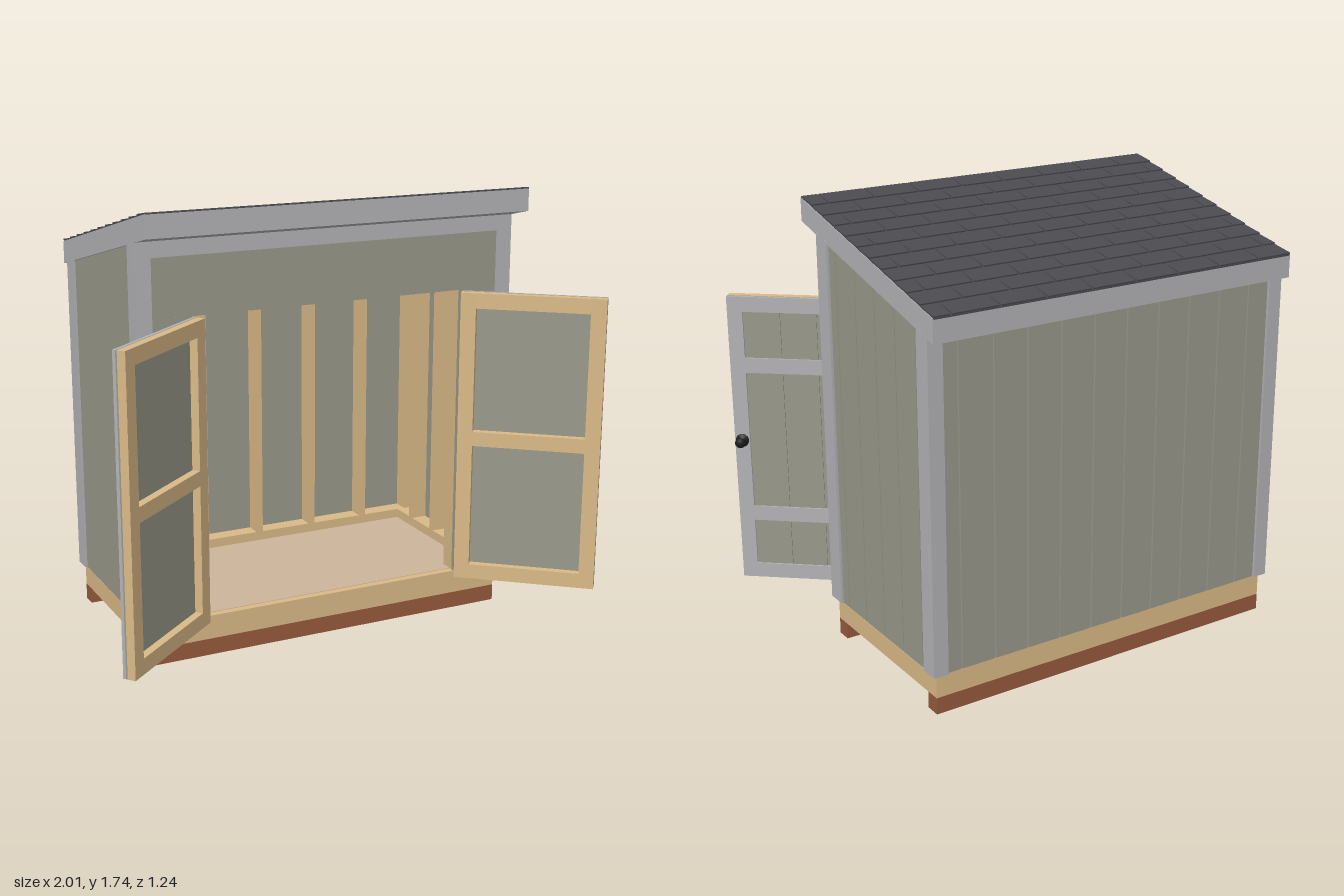
import * as THREE from 'three';

const mat = (color) => new THREE.MeshStandardMaterial({ color });
const TRIM = mat(0xb2b2b5), SIDING = mat(0x98988a), WOOD = mat(0xdab987), SKID = mat(0x965a3d);
const FLOOR = mat(0xccb59a), SHINGLE = mat(0x4b4a50), IRON = mat(0x1c1c1e);

const SLOPE = 0.246, PITCH = Math.atan(SLOPE), BASE = 0.16, STEP = 0.1425, GAP = 0.006;
const roofY = (z) => 1.735 + SLOPE * (z - 0.33);

function add(parent, name, geometry, material) {
  const mesh = new THREE.Mesh(geometry, material);
  mesh.name = name;
  parent.add(mesh);
  return mesh;
}

// Box given by its extents; x limits may come in either order
function box(parent, name, material, xa, xb, y0, y1, z0, z1) {
  const g = new THREE.BoxGeometry(Math.abs(xb - xa), y1 - y0, z1 - z0);
  g.translate((xa + xb) / 2, (y0 + y1) / 2, (z0 + z1) / 2);
  return add(parent, name, g, material);
}

// Side profile of [z, y] points, extruded between two x positions
function prism(parent, name, material, points, xa, xb) {
  const shape = new THREE.Shape(points.map(([z, y]) => new THREE.Vector2(z, y)));
  const g = new THREE.ExtrudeGeometry(shape, { depth: Math.abs(xb - xa), bevelEnabled: false });
  g.rotateY(-Math.PI / 2);
  g.translate(Math.max(xa, xb), 0, 0);
  return add(parent, name, g, material);
}

// Piece following the roof pitch, from 'low' to 'high' below the roof line
function sloped(parent, name, material, xa, xb, z0, z1, low, high) {
  return prism(parent, name, material,
    [[z0, roofY(z0) - low], [z1, roofY(z1) - low], [z1, roofY(z1) - high], [z0, roofY(z0) - high]], xa, xb);
}

// Upright piece from y0 up to a pitched top
function upright(parent, name, material, xa, xb, z0, z1, y0, drop) {
  return prism(parent, name, material,
    [[z0, y0], [z1, y0], [z1, roofY(z1) - drop], [z0, roofY(z0) - drop]], xa, xb);
}

// Splits a span into grooved siding boards
function boards(a, b, offset, place) {
  const cuts = [a];
  for (let k = -8; k <= 8; k++) {
    const c = offset + k * STEP;
    if (c > a + 0.01 && c < b - 0.01) cuts.push(c);
  }
  cuts.push(b);
  for (let i = 0; i + 1 < cuts.length; i++) {
    place(cuts[i] + (i ? GAP / 2 : 0), cuts[i + 1] - (i + 2 < cuts.length ? GAP / 2 : 0));
  }
}

function buildBase(root) {
  const g = new THREE.Group();
  g.name = 'base';
  root.add(g);
  for (const z of [0.135, -0.56]) box(g, 'skid', SKID, -0.76, 0.76, 0, 0.066, z, z + 0.06);
  for (const z of [0.165, -0.56]) box(g, 'rimJoist', WOOD, -0.76, 0.76, 0.066, BASE, z, z + 0.03);
  for (let i = -3; i <= 3; i++) {
    const x = Math.abs(i) === 3 ? Math.sign(i) * 0.745 : i * 0.25;
    box(g, 'floorJoist', WOOD, x - 0.015, x + 0.015, 0.066, BASE - 0.015, -0.53, 0.165);
  }
  box(g, 'floor', FLOOR, -0.759, 0.759, BASE - 0.015, BASE + 0.002, -0.53, 0.165);
}

function buildWalls(root) {
  const g = new THREE.Group();
  g.name = 'walls';
  root.add(g);

  // Back wall siding and framing
  upright(g, 'backSheathing', SIDING, -0.75, 0.75, -0.562, -0.548, BASE, 0.06);
  boards(-0.76, 0.76, 0.0875, (a, b) => upright(g, 'backBoard', SIDING, a, b, -0.57, -0.56, BASE, 0.06));
  box(g, 'backBottomPlate', WOOD, -0.745, 0.745, BASE, 0.2, -0.548, -0.48);
  box(g, 'backTopPlate', WOOD, -0.745, 0.745, 1.375, 1.415, -0.548, -0.48);
  for (let i = -3; i <= 3; i++) {
    const x = Math.abs(i) === 3 ? Math.sign(i) * 0.73 : i * 0.25;
    box(g, 'backStud', WOOD, x - 0.015, x + 0.015, 0.2, 1.375, -0.548, -0.48);
  }

  // Front wall above the doors
  box(g, 'headerSheathing', SIDING, -0.75, 0.75, 1.335, 1.62, 0.18, 0.193);
  boards(-0.74, 0.74, 0.0875, (a, b) => box(g, 'headerBoard', SIDING, a, b, 1.335, 1.62, 0.192, 0.203));
  box(g, 'header', WOOD, -0.745, 0.745, 1.335, 1.43, 0.115, 0.18);
  box(g, 'frontTopPlate', WOOD, -0.745, 0.745, 1.56, 1.6, 0.115, 0.18);
  box(g, 'frieze', TRIM, -0.72, 0.72, 1.56, 1.625, 0.19, 0.215);

  for (const s of [-1, 1]) {
    // Side wall siding and framing
    upright(g, 'sideSheathing', SIDING, s * 0.747, s * 0.76, -0.555, 0.195, BASE, 0.05);
    boards(-0.56, 0.2, 0.085, (a, b) => upright(g, 'sideBoard', SIDING, s * 0.759, s * 0.77, a, b, BASE, 0.05));
    box(g, 'sideBottomPlate', WOOD, s * 0.68, s * 0.747, BASE, 0.2, -0.48, 0.115);
    sloped(g, 'sideTopPlate', WOOD, s * 0.68, s * 0.747, -0.48, 0.115, 0.13, 0.09);
    for (const z of [-0.36, -0.18, 0, 0.1]) {
      upright(g, 'sideStud', WOOD, s * 0.68, s * 0.747, z - 0.015, z + 0.015, 0.2, 0.13);
    }

    // Front wall beside the doors
    box(g, 'frontSheathing', SIDING, s * 0.568, s * 0.75, BASE, 1.335, 0.18, 0.193);
    boards(0.568, 0.74, 0.0875, (a, b) => box(g, 'frontBoard', SIDING, s * a, s * b, BASE, 1.335, 0.192, 0.203));
    box(g, 'frontBottomPlate', WOOD, s * 0.568, s * 0.745, BASE, 0.2, 0.115, 0.18);
    for (const x of [0.568, 0.715]) box(g, 'doorStud', WOOD, s * x, s * (x + 0.03), 0.2, 1.335, 0.115, 0.18);

    // Corner trim, two boards to a corner
    upright(g, 'cornerTrim', TRIM, s * 0.765, s * 0.78, 0.135, 0.215, BASE, 0.08);
    upright(g, 'cornerTrim', TRIM, s * 0.72, s * 0.765, 0.195, 0.215, BASE, 0.08);
    upright(g, 'cornerTrim', TRIM, s * 0.765, s * 0.78, -0.58, -0.505, BASE, 0.08);
    upright(g, 'cornerTrim', TRIM, s * 0.72, s * 0.765, -0.58, -0.565, BASE, 0.08);
  }
}

function buildRoof(root) {
  const g = new THREE.Group();
  g.name = 'roof';
  root.add(g);
  sloped(g, 'roofDeck', WOOD, -0.765, 0.765, -0.605, 0.315, 0.024, 0.004);
  sloped(g, 'frontFascia', TRIM, -0.777, 0.777, 0.31, 0.33, 0.088, 0);
  sloped(g, 'backFascia', TRIM, -0.777, 0.777, -0.62, -0.6, 0.088, 0);
  sloped(g, 'frontSoffit', TRIM, -0.765, 0.765, 0.2, 0.31, 0.087, 0.072);
  sloped(g, 'backSoffit', TRIM, -0.765, 0.765, -0.6, -0.565, 0.087, 0.072);
  for (const s of [-1, 1]) sloped(g, 'rakeFascia', TRIM, s * 0.763, s * 0.7795, -0.62, 0.33, 0.088, 0);
  for (let i = -2; i <= 2; i++) {
    sloped(g, 'rafter', WOOD, i * 0.25 - 0.015, i * 0.25 + 0.015, -0.55, 0.18, 0.085, 0.024);
  }

  // Shingles in staggered courses, each tab lifted at its lower edge
  sloped(g, 'underlay', SHINGLE, -0.776, 0.776, -0.622, 0.331, 0.002, -0.003);
  const courses = 11, tab = 0.19, pitchLength = 0.953 / 11;
  for (let r = 0; r < courses; r++) {
    const zc = -0.622 + (r + 0.5) * pitchLength;
    const start = -0.776 - (r % 2 ? 0.13 : 0.035);
    for (let k = 0; k < 10; k++) {
      const a = Math.max(-0.777, start + k * tab + 0.004);
      const b = Math.min(0.777, start + (k + 1) * tab - 0.004);
      if (b - a < 0.01) continue;
      const geo = new THREE.BoxGeometry(b - a, 0.006, pitchLength / Math.cos(PITCH));
      const m = add(g, 'shingle', geo, SHINGLE);
      m.position.set((a + b) / 2, roofY(zc) + 0.004, zc);
      m.rotation.x = -PITCH + 0.06;
    }
  }
}

function buildDoor(root, s) {
  const g = new THREE.Group();
  g.name = s > 0 ? 'leftDoor' : 'rightDoor';
  g.position.set(s * 0.566, 0, 0.216);
  g.rotation.y = -s * THREE.MathUtils.degToRad(40);
  root.add(g);
  const W = 0.56, Y0 = BASE, Y1 = 1.335, ST = 0.06;

  // Frame of two stiles with rails between them
  const frame = (name, material, rails, z0, z1) => {
    for (const x of [0, W - ST]) box(g, name + 'Stile', material, s * x, s * (x + ST), Y0, Y1, z0, z1);
    for (const [a, b] of rails) box(g, name + 'Rail', material, s * ST, s * (W - ST), a, b, z0, z1);
  };
  frame('outer', TRIM, [[Y0, 0.22], [0.41, 0.47], [1.03, 1.09], [1.275, Y1]], 0, 0.012);
  frame('inner', WOOD, [[Y0, 0.22], [0.72, 0.778], [1.275, Y1]], 0.018, 0.05);
  box(g, 'doorPanel', SIDING, 0, s * W, Y0, Y1, 0.0119, 0.0181);
  boards(ST, W - ST, 0.21, (a, b) => box(g, 'doorBoard', SIDING, s * a, s * b, Y0 + 0.05, Y1 - 0.05, 0.007, 0.013));

  // Tapered strap hinges with a barrel
  for (const y of [0.19, 0.75, 1.305]) {
    const strap = new THREE.Shape([[0, -0.02], [0.015, -0.02], [0.06, -0.007], [0.06, 0.007], [0.015, 0.02], [0, 0.02]]
      .map(([x, v]) => new THREE.Vector2(s * x, v)));
    add(g, 'hingeStrap', new THREE.ExtrudeGeometry(strap, { depth: 0.006, bevelEnabled: false }), IRON)
      .position.set(0, y, -0.005);
    add(g, 'hingeBarrel', new THREE.CylinderGeometry(0.006, 0.006, 0.045, 12), IRON).position.set(0, y, -0.003);
  }

  // Turned knob on one door only
  if (s > 0) {
    const profile = [[0, 0], [0.026, 0], [0.026, 0.006], [0.009, 0.009], [0.009, 0.022], [0.02, 0.03], [0.02, 0.038], [0.011, 0.045], [0, 0.046]];
    const knob = add(g, 'knob', new THREE.LatheGeometry(profile.map(([x, y]) => new THREE.Vector2(x, y)), 20), IRON);
    knob.rotation.x = -Math.PI / 2;
    knob.position.set(0.53, 0.75, 0);
  }
}

export function createModel() {
  const root = new THREE.Group();
  root.name = 'gardenShed';
  buildBase(root);
  buildWalls(root);
  buildRoof(root);
  for (const s of [-1, 1]) buildDoor(root, s);
  return root;
}
